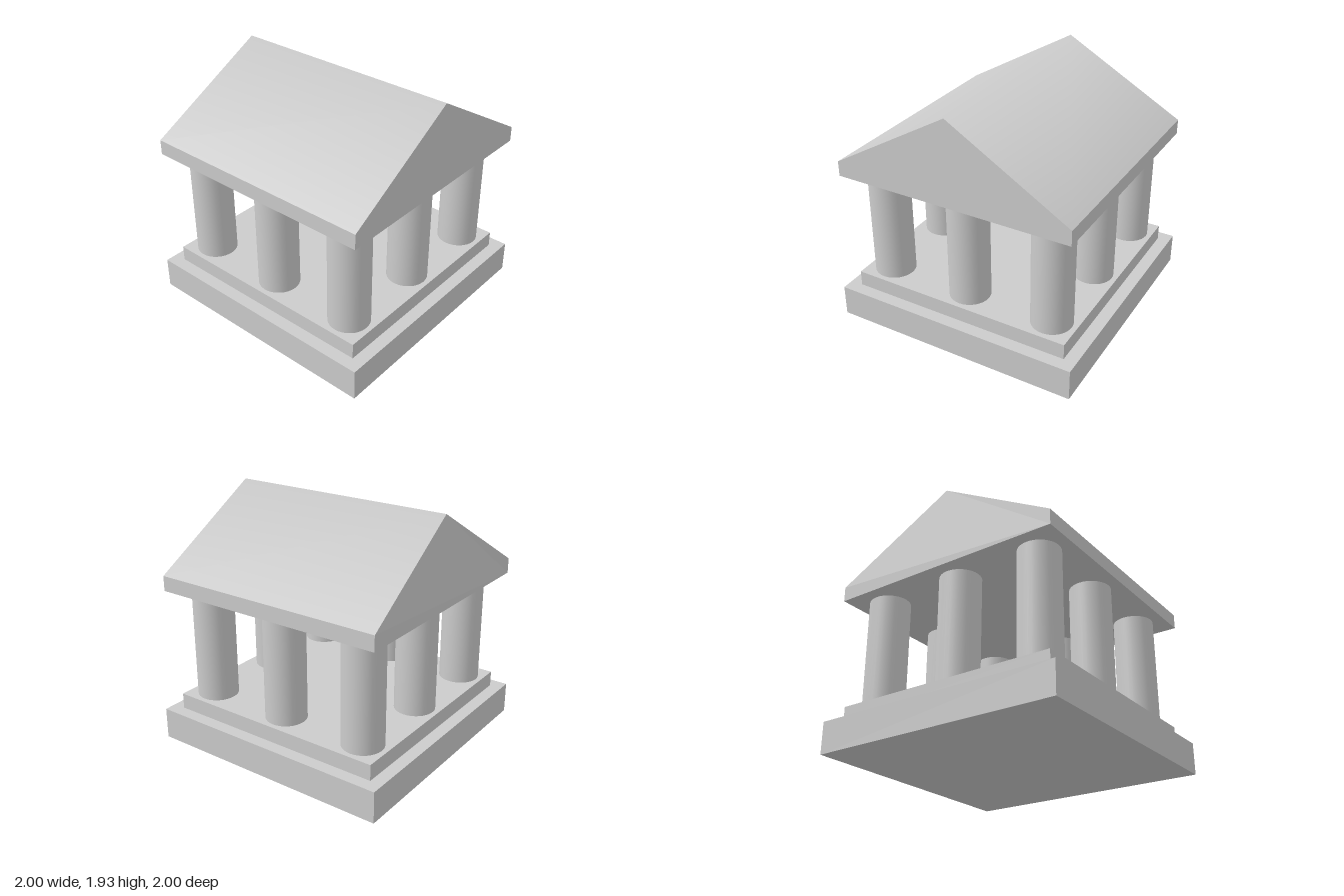
import * as THREE from 'three';

const material = new THREE.MeshStandardMaterial({ color: 0xcccccc });

function add(group, name, geometry, x, y, z) {
  const mesh = new THREE.Mesh(geometry, material);
  mesh.name = name;
  mesh.position.set(x, y, z);
  group.add(mesh);
  return mesh;
}

// Gabled roof: a pentagon prism whose rear peak leans slightly forward
function roofGeometry(half, eave, peak, lean) {
  const shape = new THREE.Shape([
    new THREE.Vector2(-half, 0),
    new THREE.Vector2(half, 0),
    new THREE.Vector2(half, eave),
    new THREE.Vector2(0, peak),
    new THREE.Vector2(-half, eave),
  ]);
  const geometry = new THREE.ExtrudeGeometry(shape, { depth: half * 2, bevelEnabled: false });
  geometry.translate(0, 0, -half);
  const pos = geometry.attributes.position;
  const isPeak = (i) => pos.getY(i) > peak - 0.001;
  for (let i = 0; i < pos.count; i++) {
    if (isPeak(i) && pos.getZ(i) < 0) pos.setZ(i, -half + lean);
  }
  geometry.computeVertexNormals();
  // Soft shading across the ridge, on the two slopes only
  const normal = geometry.attributes.normal;
  for (let i = 0; i < pos.count; i++) {
    if (isPeak(i) && normal.getY(i) > 0.5) normal.setXYZ(i, 0, 1, 0);
  }
  return geometry;
}

export function createModel() {
  const temple = new THREE.Group();
  temple.name = 'temple';

  // Stepped platform
  add(temple, 'base', new THREE.BoxGeometry(2, 0.25, 2), 0, 0.125, 0);
  add(temple, 'step', new THREE.BoxGeometry(1.8, 0.125, 1.8), 0, 0.3125, 0);

  // Eight columns around the edge, open in the middle
  const columns = new THREE.Group();
  columns.name = 'columns';
  temple.add(columns);
  const columnGeometry = new THREE.CylinderGeometry(0.16, 0.16, 0.875, 32);
  for (const x of [-0.7, 0, 0.7]) {
    for (const z of [-0.7, 0, 0.7]) {
      if (x || z) add(columns, 'column', columnGeometry, x, 0.8125, z);
    }
  }

  add(temple, 'roof', roofGeometry(0.955, 0.12, 0.685, 0.055), 0, 1.25, 0);
  return temple;
}
